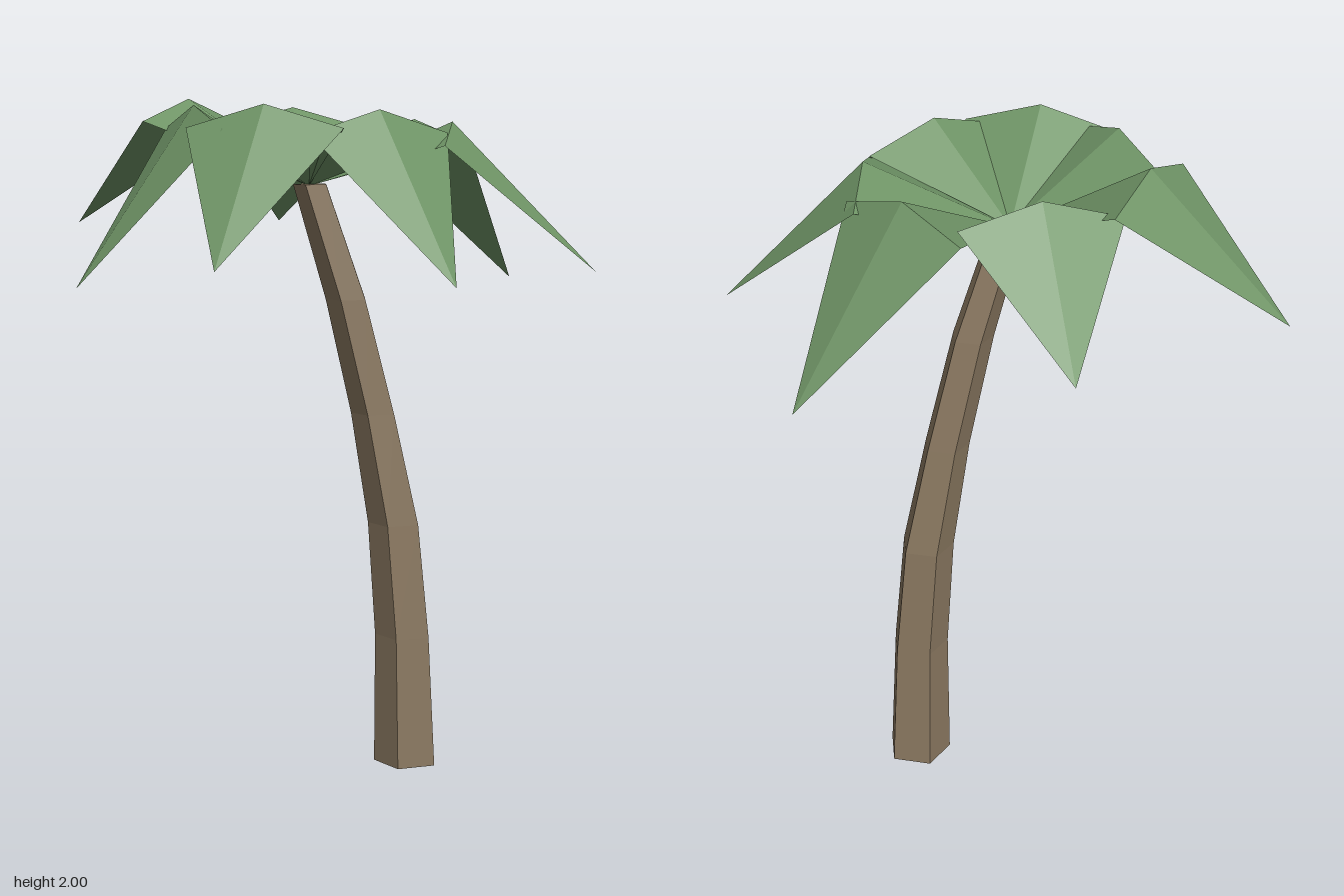
import * as THREE from 'three';

const barkMaterial = new THREE.MeshStandardMaterial({ color: 0x8c7a62, flatShading: true });
const leafMaterial = new THREE.MeshStandardMaterial({
  color: 0x6f9466, flatShading: true, side: THREE.DoubleSide,
});

const CROWN = new THREE.Vector3(-0.065, 1.75, 0.03);

// Trunk rings: x, y, z, radius
const RINGS = [
  [0.22, 0, 0.145, 0.1],
  [0.205, 0.4, 0.147, 0.088],
  [0.178, 0.745, 0.135, 0.082],
  [0.117, 1.08, 0.11, 0.07],
  [0.038, 1.42, 0.08, 0.064],
  [-0.06, 1.755, 0.035, 0.053],
];

// Fronds: tip x, y, z and the height of the ridge at the bend
const FRONDS = [
  [-0.38, 1.62, -0.76, 2.0],
  [0.295, 1.61, -0.635, 1.975],
  [0.75, 1.445, -0.015, 1.94],
  [0.525, 1.51, 0.615, 1.935],
  [-0.11, 1.505, 0.755, 1.97],
  [-0.675, 1.555, 0.455, 1.985],
  [-0.755, 1.475, -0.125, 1.982],
];

// Five-sided column bent and tapered through the rings
function makeTrunk() {
  const steps = RINGS.length - 1;
  const geometry = new THREE.CylinderGeometry(1, 1, 1, 5, steps, false, Math.PI / 2);
  const p = geometry.attributes.position;
  for (let i = 0; i < p.count; i++) {
    const [x, y, z, r] = RINGS[Math.round((p.getY(i) + 0.5) * steps)];
    p.setXYZ(i, x + p.getX(i) * r, y, z + p.getZ(i) * r);
  }
  geometry.computeVertexNormals();
  const trunk = new THREE.Mesh(geometry, barkMaterial);
  trunk.name = 'trunk';
  return trunk;
}

// Thin kite folded along its ridge, rising to a bend halfway and drooping to the tip
function makeFrond([x, y, z, ridgeY]) {
  const tip = new THREE.Vector3(x, y, z);
  const bend = CROWN.clone().add(tip).multiplyScalar(0.5).setY(ridgeY);
  const across = new THREE.Vector3(z - CROWN.z, 0, CROWN.x - x).setLength(0.23);
  const sideA = bend.clone().add(across);
  const sideB = bend.clone().sub(across);
  sideA.y -= 0.065;
  sideB.y -= 0.065;
  const corners = [
    CROWN, sideB, bend, CROWN, bend, sideA,
    tip, bend, sideB, tip, sideA, bend,
  ];
  const geometry = new THREE.BufferGeometry().setFromPoints(corners);
  geometry.computeVertexNormals();
  return new THREE.Mesh(geometry, leafMaterial);
}

export function createModel() {
  const tree = new THREE.Group();
  tree.name = 'palmTree';
  tree.add(makeTrunk());

  const crown = new THREE.Group();
  crown.name = 'crown';
  FRONDS.forEach((data, i) => {
    const frond = makeFrond(data);
    frond.name = `frond${i + 1}`;
    crown.add(frond);
  });
  tree.add(crown);
  return tree;
}
